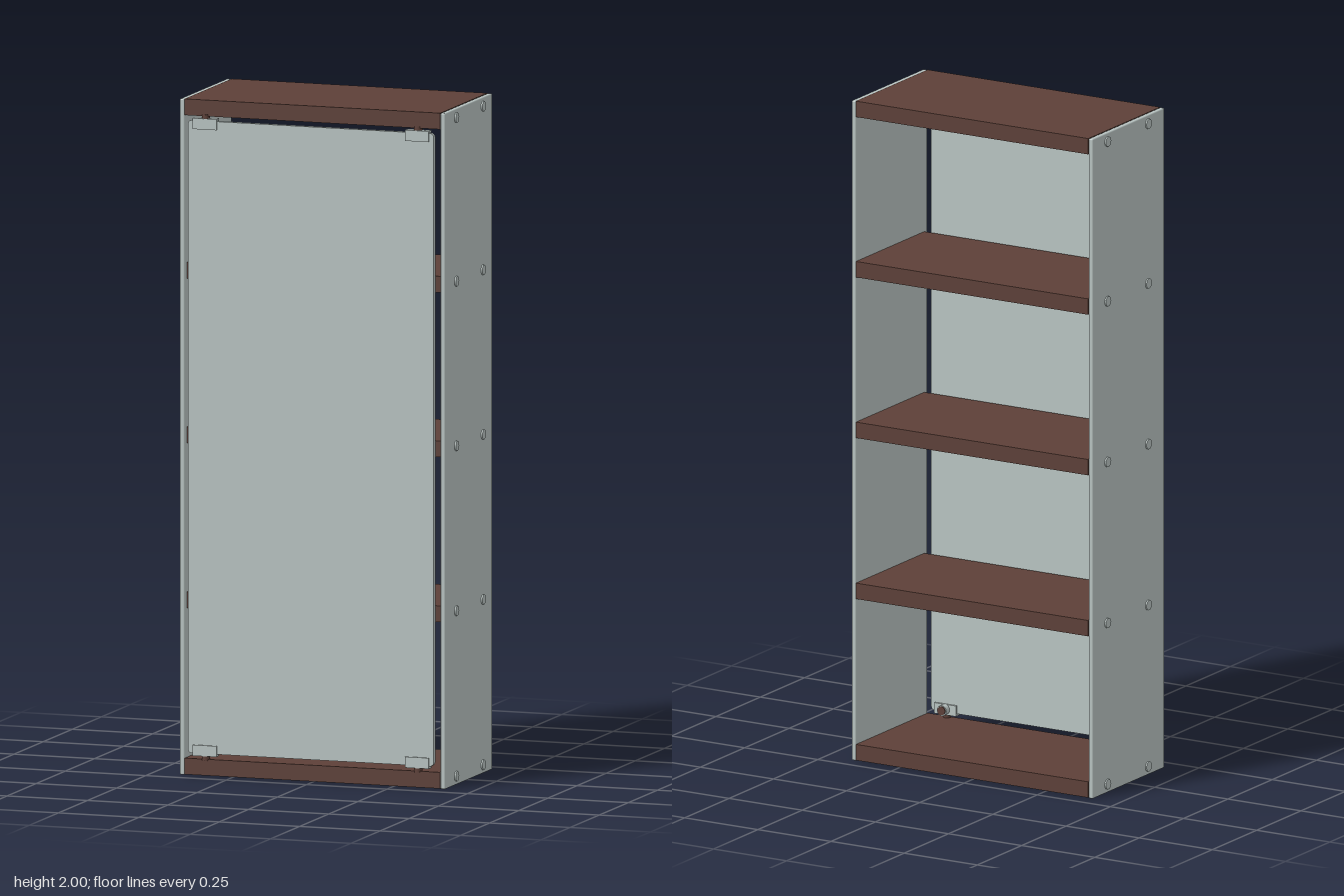
import * as THREE from 'three';
import { RoundedBoxGeometry } from 'three/addons/geometries/RoundedBoxGeometry.js';

const glass = new THREE.MeshStandardMaterial({ color: 0xb9c4c2 });
glass.name = 'pale grey glass';
const wood = new THREE.MeshStandardMaterial({ color: 0x5d4038 });
wood.name = 'dark brown wood';

export function createModel() {
  const cabinet = new THREE.Group();
  cabinet.name = 'cabinet';

  const add = (name, geometry, material, x, y, z) => {
    const mesh = new THREE.Mesh(geometry, material);
    mesh.name = name;
    mesh.position.set(x, y, z);
    cabinet.add(mesh);
    return mesh;
  };
  const box = (name, material, x0, x1, y0, y1, z0, z1) =>
    add(name, new THREE.BoxGeometry(x1 - x0, y1 - y0, z1 - z0), material,
      (x0 + x1) / 2, (y0 + y1) / 2, (z0 + z1) / 2);

  // Top and bottom boards, with shallower shelves behind the door
  box('bottomBoard', wood, -0.397, 0.397, 0.002, 0.05, -0.205, 0.2);
  box('topBoard', wood, -0.397, 0.397, 1.952, 2, -0.205, 0.2);
  const shelfHeights = [0.515, 1.003, 1.49];
  for (const y of shelfHeights)
    box('shelf', wood, -0.397, 0.397, y - 0.024, y + 0.024, -0.205, 0.18);

  // Side panels with softened edges and a pair of bolt heads at each board
  for (const side of [-1, 1]) {
    add('sidePanel', new RoundedBoxGeometry(0.015, 2, 0.405, 2, 0.004), glass,
      side * 0.405, 1, -0.0025);
    for (const y of [0.026, ...shelfHeights, 1.974])
      for (const z of [-0.123, 0.106]) {
        const bolt = add('bolt', new THREE.CylinderGeometry(0.015, 0.015, 0.024, 24), glass,
          side * 0.405, y, z);
        bolt.rotation.z = Math.PI / 2;
      }
  }

  // Door: thin pane with rounded corners
  const [x0, x1, y0, y1, r] = [-0.387, 0.377, 0.066, 1.938, 0.012];
  const outline = new THREE.Shape();
  outline.absarc(x1 - r, y0 + r, r, -Math.PI / 2, 0);
  outline.absarc(x1 - r, y1 - r, r, 0, Math.PI / 2);
  outline.absarc(x0 + r, y1 - r, r, Math.PI / 2, Math.PI);
  outline.absarc(x0 + r, y0 + r, r, Math.PI, Math.PI * 1.5);
  add('door', new THREE.ExtrudeGeometry(outline, { depth: 0.014, bevelEnabled: false, curveSegments: 6 }),
    glass, 0, 0, 0.186);

  // Hinge clips: front and back plates, an edge web and a pin into the board
  for (const cx of [-0.334, 0.326])
    for (const top of [false, true]) {
      const y = top ? 1.928 : 0.076;
      const edge = top ? 1.942 : 0.062;
      box('clipFront', glass, cx - 0.037, cx + 0.037, y - 0.015, y + 0.015, 0.2, 0.205);
      box('clipBack', glass, cx - 0.037, cx + 0.037, y - 0.015, y + 0.015, 0.18, 0.186);
      box('clipWeb', glass, cx - 0.037, cx + 0.037, edge - 0.003, edge + 0.003, 0.18, 0.205);
      add('hingePin', new THREE.CylinderGeometry(0.012, 0.012, 0.02, 16), wood,
        cx, top ? 1.947 : 0.056, 0.192);
      // Clamping screw behind the lower clips
      if (!top) {
        const screw = add('clipScrew', new THREE.CylinderGeometry(0.016, 0.016, 0.02, 16), glass, cx, y, 0.171);
        const tip = add('screwTip', new THREE.CylinderGeometry(0.013, 0.013, 0.004, 16), wood, cx, y, 0.16);
        screw.rotation.x = tip.rotation.x = Math.PI / 2;
      }
    }

  return cabinet;
}
